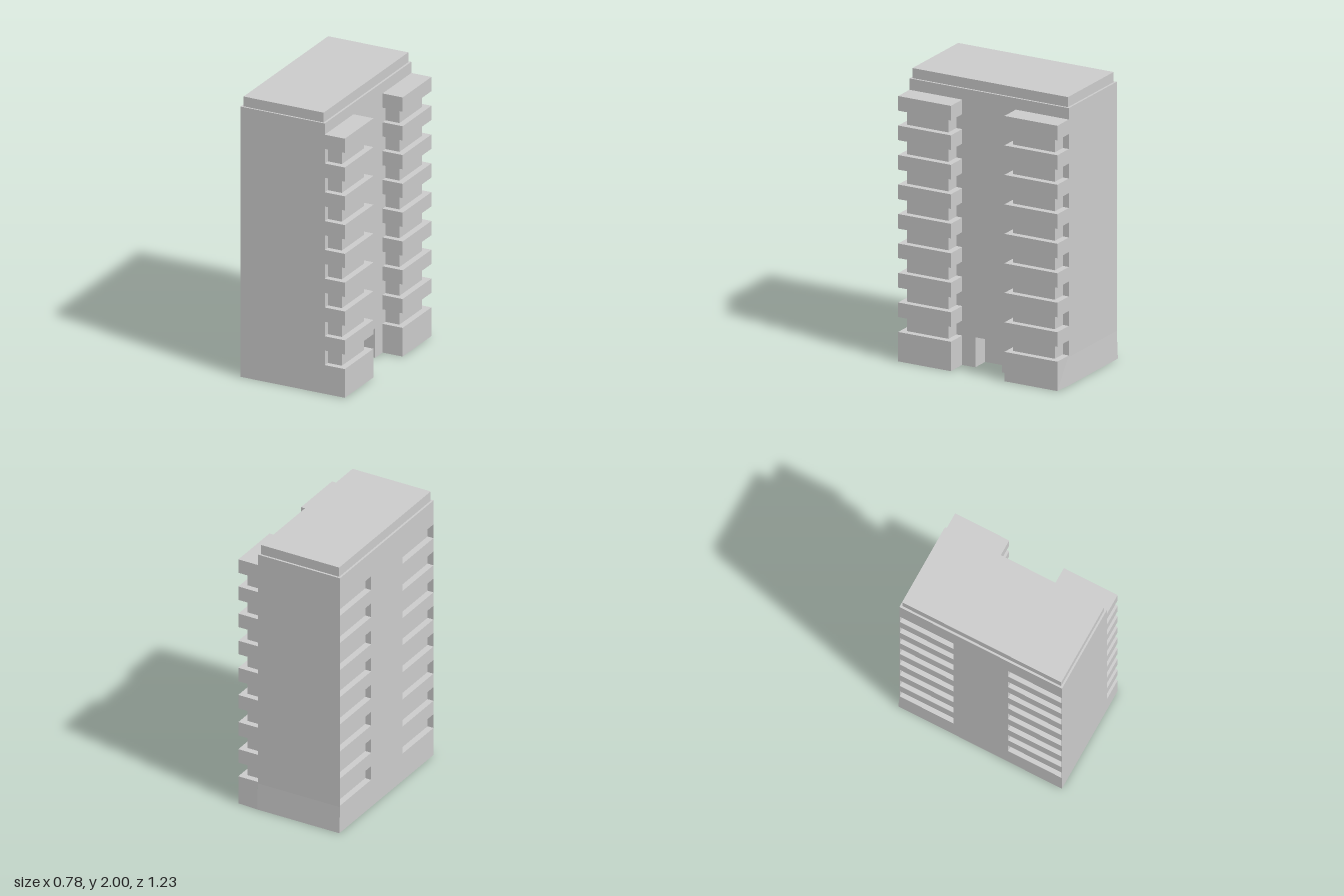
import * as THREE from 'three';

const material = new THREE.MeshStandardMaterial({ color: 0xcccccc, side: THREE.DoubleSide, flatShading: true });

// Main dimensions
const LEFT = -0.39, WALL = 0.24, OUTER = 0.39, CORE = 0.345, RECESS = 0.045;
const FRONT = 0.613, BACK = -0.605, FLARE = -0.613;
const ROOF = 1.93, TOP = 2, BASE = 0.205, STEP = 0.2057, GAP = 0.104, FLOORS = 8;
const DOOR = { z0: -0.095, z1: 0.11, height: 0.21, depth: 0.13 };
const columns = [
  { z0: 0.21, z1: FRONT, core0: 0.255, core1: 0.57, hole0: 0.21, hole1: FRONT - 0.003 },
  { z0: BACK, z1: -0.2, core0: -0.56, core1: -0.24, hole0: BACK + 0.003, hole1: -0.2 },
];

// Box between two corners; skip lists the faces left open (+x -x +y -y +z -z = 0..5)
function openBox(x0, x1, y0, y1, z0, z1, skip = []) {
  const g = new THREE.BoxGeometry(x1 - x0, y1 - y0, z1 - z0);
  g.translate((x0 + x1) / 2, (y0 + y1) / 2, (z0 + z1) / 2);
  const kept = Array.from(g.index.array).filter((_, i) => !skip.includes(Math.floor(i / 6)));
  g.setIndex(kept);
  g.clearGroups();
  return g;
}

// Flat wall in the z-y plane at a given x
function sideWall(shape, x) {
  return new THREE.ShapeGeometry(shape).rotateY(-Math.PI / 2).translate(x, 0, 0);
}

// The foot of the back wall kicks out slightly
function flareFoot(g) {
  const p = g.attributes.position;
  for (let i = 0; i < p.count; i++) {
    if (p.getY(i) < 0.01 && p.getZ(i) < -0.6 && p.getX(i) < 0.3) p.setZ(i, FLARE);
  }
  g.computeVertexNormals();
  return g;
}

const outline = (points) => new THREE.Shape(points.map(([a, b]) => new THREE.Vector2(a, b)));

export function createModel() {
  const model = new THREE.Group();
  model.name = 'towerBlock';
  const add = (name, geometry, parent = model) => {
    const mesh = new THREE.Mesh(geometry, material);
    mesh.name = name;
    parent.add(mesh);
  };
  const group = (name) => {
    const g = new THREE.Group();
    g.name = name;
    model.add(g);
    return g;
  };

  // End walls, hollow body open at the bottom
  const width = WALL - LEFT, midX = (WALL + LEFT) / 2;
  add('frontWall', new THREE.PlaneGeometry(width, ROOF).translate(midX, ROOF / 2, FRONT));
  add('backWall', flareFoot(new THREE.PlaneGeometry(width, ROOF, 1, 10)
    .rotateY(Math.PI).translate(midX, ROOF / 2, BACK)));

  // Roof and raised cap
  add('roof', new THREE.PlaneGeometry(width, FRONT - BACK).rotateX(-Math.PI / 2)
    .translate(midX, ROOF, (FRONT + BACK) / 2));
  add('roofCap', openBox(-0.375, 0.225, ROOF, TOP, -0.59, 0.6, [3]));

  // Balcony-side wall, cut out at the foot for the doorway and the two bases
  const [near, far] = columns;
  add('balconyWall', sideWall(outline([
    [BACK, ROOF], [BACK, BASE], [far.z1, BASE], [far.z1, 0],
    [DOOR.z0, 0], [DOOR.z0, DOOR.height], [DOOR.z1, DOOR.height], [DOOR.z1, 0],
    [near.z0, 0], [near.z0, BASE], [FRONT, BASE], [FRONT, ROOF],
  ]), WALL));
  add('doorway', openBox(WALL - DOOR.depth, WALL, 0, DOOR.height, DOOR.z0, DOOR.z1, [0, 3]));

  // Window-side wall with its slots
  const windowWall = outline([[FLARE, 0], [FRONT, 0], [FRONT, ROOF], [BACK, ROOF], [BACK, 0.193]]);
  const windows = group('windowRecesses');
  const balconies = group('balconies');

  for (const c of columns) {
    // Solid foot of each balcony column and its set-back core
    add('balconyBase', flareFoot(openBox(WALL, OUTER, 0, BASE, c.z0, c.z1, [1, 3])), balconies);
    add('balconyCore', openBox(WALL, CORE, BASE, BASE + STEP * FLOORS, c.core0, c.core1, [1, 2, 3]), balconies);

    for (let i = 0; i < FLOORS; i++) {
      const y0 = BASE + STEP * i, y1 = y0 + GAP;
      add('balconySlab', openBox(WALL, OUTER, y1, y0 + STEP, c.z0, c.z1, [1]), balconies);
      windowWall.holes.push(outline([[c.hole0, y0], [c.hole0, y1], [c.hole1, y1], [c.hole1, y0]]));
      add('windowRecess', openBox(LEFT, LEFT + RECESS, y0, y1, c.hole0, c.hole1, [1]), windows);
    }
  }
  add('windowWall', sideWall(windowWall, LEFT));
  return model;
}
